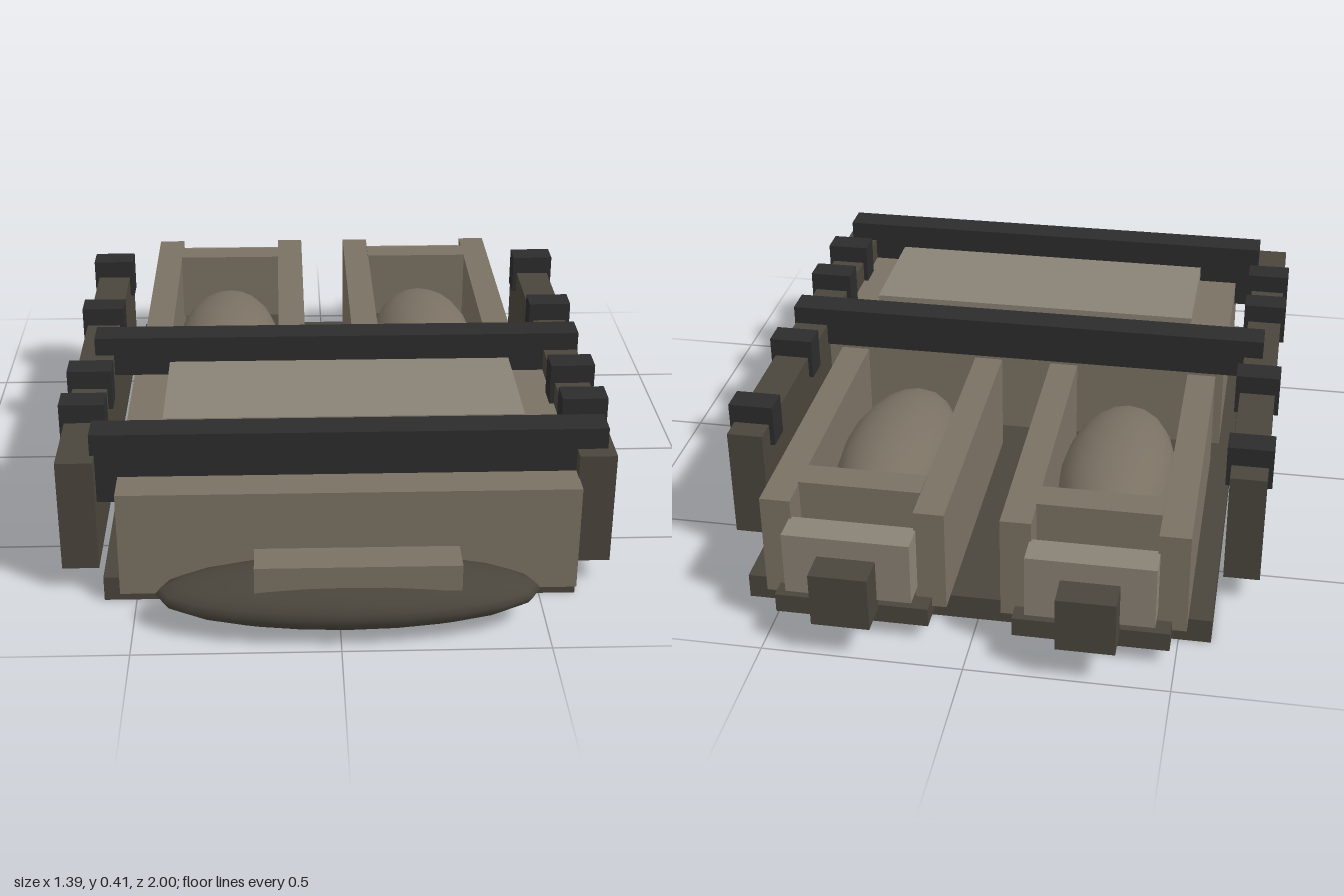
import * as THREE from 'three';

const mat = (color) => new THREE.MeshStandardMaterial({ color });

export function createModel() {
  const model = new THREE.Group();
  model.name = 'model';
  const dark = mat(0x4a453c), mid = mat(0x7a7163), light = mat(0x8a8275), black = mat(0x2c2c2c);

  // Box given by its extents along each axis
  function box(parent, name, material, [x0, x1], [y0, y1], [z0, z1]) {
    const mesh = new THREE.Mesh(new THREE.BoxGeometry(x1 - x0, y1 - y0, z1 - z0), material);
    mesh.position.set((x0 + x1) / 2, (y0 + y1) / 2, (z0 + z1) / 2);
    mesh.name = name;
    parent.add(mesh);
    return mesh;
  }

  // Stretched sphere given by centre and radii
  function ellipsoid(parent, name, material, centre, radii) {
    const geo = new THREE.SphereGeometry(1, 20, 14);
    geo.scale(...radii);
    const mesh = new THREE.Mesh(geo, material);
    mesh.position.set(...centre);
    mesh.name = name;
    parent.add(mesh);
    return mesh;
  }

  // Base plate and front body
  box(model, 'basePlate', dark, [-0.58, 0.59], [0, 0.065], [-0.8, 0.76]);
  box(model, 'frontBody', mid, [-0.54, 0.592], [0.023, 0.3], [0.03, 0.77]);
  box(model, 'topPanel', light, [-0.435, 0.48], [0.28, 0.38], [0.18, 0.52]);

  // Cross bars
  box(model, 'frontCrossBar', black, [-0.605, 0.665], [0.23, 0.415], [0.595, 0.675]);
  box(model, 'middleCrossBar', black, [-0.645, 0.684], [0.3, 0.41], [0.01, 0.09]);

  // Rounded nose with its plaque
  ellipsoid(model, 'nose', dark, [0.02, 0.085, 0.87], [0.465, 0.07, 0.13]);
  box(model, 'nosePlaque', mid, [-0.205, 0.287], [0.13, 0.198], [0.855, 0.945]);

  // Side rails with clips
  for (const side of [-1, 1]) {
    const rail = new THREE.Group();
    rail.name = side > 0 ? 'leftRail' : 'rightRail';
    const c = side > 0 ? 0.636 : -0.64;
    box(rail, 'railBeam', dark, [c - 0.046, c + 0.046], [0.065, 0.36], [-0.612, 0.715]);
    for (const z of [-0.515, -0.152, 0.265, 0.463]) {
      box(rail, 'railClip', black, [c - 0.058, c + 0.058], [0.3, 0.41], [z - 0.036, z + 0.036]);
    }
    model.add(rail);
  }

  // Twin rear pods: floor, two walls, end pieces, knob and rounded core
  for (const side of [-1, 1]) {
    const pod = new THREE.Group();
    pod.name = side > 0 ? 'leftPod' : 'rightPod';
    pod.position.x = side > 0 ? 0.297 : -0.294;
    box(pod, 'podFloor', dark, [-0.192, 0.192], [0.04, 0.09], [-0.9, -0.04]);
    for (const s of [-1, 1]) {
      box(pod, 'podWall', mid, [s * 0.19 - 0.038, s * 0.19 + 0.038], [0.065, 0.335], [-0.85, -0.065]);
    }
    box(pod, 'podCrossPiece', mid, [-0.153, 0.153], [0.14, 0.34], [-0.77, -0.69]);
    box(pod, 'podEndBlock', light, [-0.157, 0.157], [0.12, 0.285], [-0.92, -0.84]);
    box(pod, 'podKnob', dark, [-0.072, 0.072], [0.09, 0.232], [-1, -0.91]);
    ellipsoid(pod, 'podCore', mid, [0, 0.175, -0.373], [0.152, 0.125, 0.325]);
    model.add(pod);
  }

  return model;
}
